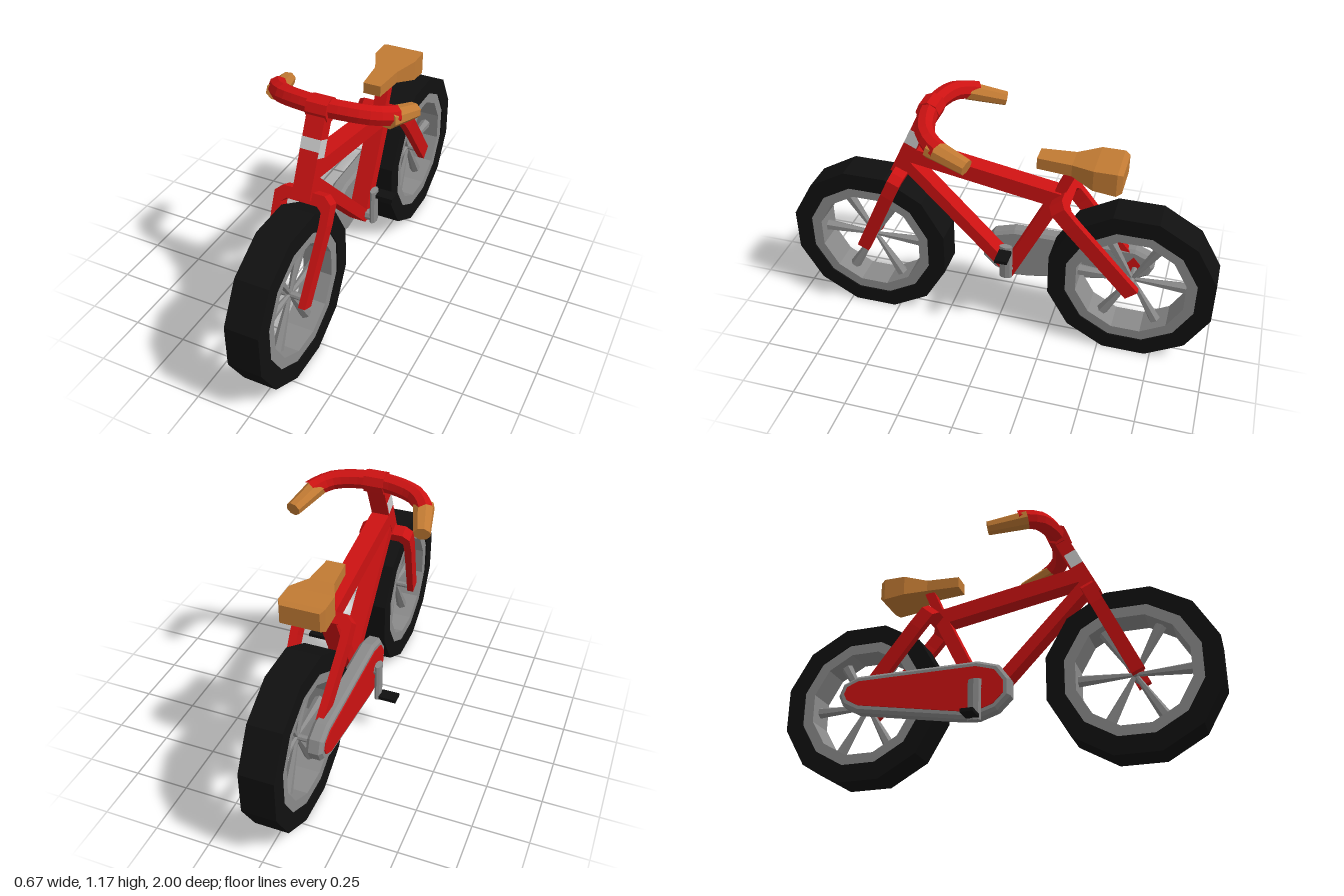
import * as THREE from 'three';

const mat = (color) => new THREE.MeshStandardMaterial({ color, flatShading: true });
const V = (x, y, z) => new THREE.Vector3(x, y, z);

export function createModel() {
  const bike = new THREE.Group();
  bike.name = 'bicycle';
  const red = mat(0xcc1212), black = mat(0x101010), tan = mat(0xc17a33);
  const grey = mat(0x8a8a8a), pale = mat(0xcccccc);

  function add(name, geometry, material, parent = bike) {
    const m = new THREE.Mesh(geometry, material);
    m.name = name;
    parent.add(m);
    return m;
  }
  // Square tube between two points
  function beam(name, a, b, width, thick, material = red) {
    const m = add(name, new THREE.BoxGeometry(width, thick, a.distanceTo(b)), material);
    m.position.copy(a).lerp(b, 0.5);
    m.lookAt(b);
    return m;
  }
  // Round, possibly tapered rod between two points
  function rod(name, a, b, ra, rb, material, sides = 8, parent = bike) {
    const m = add(name, new THREE.CylinderGeometry(rb, ra, a.distanceTo(b), sides), material, parent);
    m.position.copy(a).lerp(b, 0.5);
    m.quaternion.setFromUnitVectors(V(0, 1, 0), b.clone().sub(a).normalize());
    return m;
  }

  // Wheels: twelve-sided rings, given by apothem and half width
  function ring(inner, outer, half) {
    const k = 1 / Math.cos(Math.PI / 12);
    const pts = [[inner, -half], [outer, -half], [outer, half], [inner, half], [inner, -half]]
      .map(([r, y]) => new THREE.Vector2(r * k, y));
    return new THREE.LatheGeometry(pts, 12, Math.PI / 12).rotateZ(Math.PI / 2);
  }
  function wheel(name, z) {
    const g = new THREE.Group();
    g.name = name;
    g.position.set(0, 0.375, z);
    bike.add(g);
    add('tyre', ring(0.295, 0.375, 0.077), black, g);
    add('rim', ring(0.247, 0.3, 0.07), grey, g);
    rod('axle', V(-0.085, 0, 0), V(0.085, 0, 0), 0.014, 0.014, grey, 8, g);
    for (let i = 0; i < 6; i++) {
      const a = (i * Math.PI) / 3, c = Math.cos(a), s = Math.sin(a);
      rod('spoke', V(0, 0, 0), V(0, s * 0.26, c * 0.26), 0.009, 0.028, grey, 6, g);
    }
  }
  wheel('frontWheel', 0.625);
  wheel('rearWheel', -0.625);

  // Forks: one arch outline, tilted towards each hub
  function fork(name, y, z, length, tilt, depth) {
    const half = [[0.068, -length], [0.1, -length], [0.128, -0.12], [0.128, -0.03], [0.095, 0]];
    const inner = [[0.07, -0.05], [0.092, -0.07], [0.092, -0.13]];
    const mirror = (p) => p.map(([x, v]) => [-x, v]).reverse();
    const outline = [...half, ...mirror(half), ...mirror(inner), ...inner];
    const shape = new THREE.Shape(outline.map(([x, v]) => new THREE.Vector2(x, v)));
    const geo = new THREE.ExtrudeGeometry(shape, { depth, bevelEnabled: false });
    const m = add(name, geo.translate(0, 0, -depth / 2), red);
    m.position.set(0, y, z);
    m.rotation.x = tilt;
  }
  fork('frontFork', 0.8, 0.447, 0.49, -0.43, 0.06);
  fork('rearStays', 0.79, -0.275, 0.565, 0.7, 0.07);

  // Frame tubes
  beam('headTube', V(0, 0.775, 0.473), V(0, 1.1, 0.318), 0.084, 0.065);
  beam('headCollar', V(0, 0.935, 0.399), V(0, 1.005, 0.367), 0.087, 0.06, pale);
  beam('topTube', V(0, 0.885, 0.41), V(0, 0.765, -0.28), 0.084, 0.075);
  beam('downTube', V(0, 0.83, 0.43), V(0, 0.325, -0.055), 0.08, 0.055);
  beam('seatTube', V(0, 0.31, -0.045), V(0, 0.785, -0.275), 0.084, 0.062);
  beam('seatPost', V(0, 0.77, -0.265), V(0, 0.925, -0.33), 0.06, 0.045);

  // Handlebar with clamp and grips
  const path = new THREE.CatmullRomCurve3([
    V(-0.27, 1.08, 0.18), V(-0.245, 1.09, 0.22), V(-0.195, 1.105, 0.265), V(-0.1, 1.115, 0.295),
    V(0, 1.117, 0.305),
    V(0.1, 1.115, 0.295), V(0.195, 1.105, 0.265), V(0.245, 1.09, 0.22), V(0.27, 1.08, 0.18)]);
  add('handlebar', new THREE.TubeGeometry(path, 16, 0.043, 8), red);
  rod('handlebarClamp', V(-0.047, 1.113, 0.308), V(0.047, 1.113, 0.308), 0.053, 0.053, red);
  for (const s of [-1, 1]) {
    const grip = rod(s > 0 ? 'leftGrip' : 'rightGrip',
      V(s * 0.25, 1.083, 0.225), V(s * 0.298, 1.042, 0.055), 0.05, 0.038, tan);
    grip.scale.set(1, 1, 0.85);
  }

  // Saddle: rectangular sections [z, half width, bottom, top] from nose to back
  const sections = [[-0.175, 0.042, 0.918, 0.97], [-0.33, 0.055, 0.915, 0.97],
    [-0.43, 0.1, 0.89, 0.985], [-0.53, 0.1, 0.878, 0.985], [-0.553, 0.086, 0.89, 0.975]];
  const pos = [], index = [];
  for (const [z, w, lo, hi] of sections) pos.push(-w, lo, z, w, lo, z, w, hi, z, -w, hi, z);
  for (let i = 0; i < sections.length - 1; i++) {
    for (let j = 0; j < 4; j++) {
      const a = i * 4 + j, b = i * 4 + ((j + 1) % 4);
      index.push(a, a + 4, b, b, a + 4, b + 4);
    }
  }
  const e = (sections.length - 1) * 4;
  index.push(0, 1, 2, 0, 2, 3, e, e + 2, e + 1, e, e + 3, e + 2);
  const saddle = new THREE.BufferGeometry();
  saddle.setAttribute('position', new THREE.Float32BufferAttribute(pos, 3));
  saddle.setIndex(index);
  const saddleGeo = saddle.toNonIndexed();
  saddleGeo.computeVertexNormals();
  add('saddle', saddleGeo, tan);

  // Chain guard: outline in (z, y), with an inset side panel
  const guard = new THREE.Shape([[0.1, 0.38], [0.1, 0.3], [0.04, 0.24], [-0.05, 0.21], [-0.12, 0.215],
    [-0.62, 0.3], [-0.69, 0.34], [-0.712, 0.39], [-0.69, 0.445], [-0.62, 0.475], [-0.05, 0.48],
    [0.05, 0.45]].map(([z, y]) => new THREE.Vector2(z, y)));
  const guardGroup = new THREE.Group();
  guardGroup.name = 'chainGuard';
  guardGroup.rotation.y = -Math.PI / 2 + 0.02;
  guardGroup.position.x = -0.06;
  bike.add(guardGroup);
  add('guardCase', new THREE.ExtrudeGeometry(guard, {
    depth: 0.045, bevelThickness: 0.014, bevelSize: 0.014, bevelOffset: -0.014, bevelSegments: 1,
  }).translate(0, 0, 0.014), grey, guardGroup);
  add('guardPanel', new THREE.ExtrudeGeometry(guard, {
    depth: 0.01, bevelThickness: 0.002, bevelSize: 0, bevelOffset: -0.03, bevelSegments: 1,
  }).translate(0, 0, 0.066), red, guardGroup);

  // Cranks and pedals, one up and one down
  rod('crankAxle', V(-0.155, 0.345, -0.05), V(0.075, 0.345, -0.05), 0.026, 0.026, grey);
  function crank(side, x, low, high, pedalX, pedalY) {
    const arm = rod(side + 'Crank', V(x, low, -0.05), V(x, high, -0.05), 0.031, 0.031, grey);
    arm.scale.set(0.52, 1, 1);
    const pedal = add(side + 'Pedal', new THREE.BoxGeometry(0.083, 0.016, 0.058), black);
    pedal.position.set(pedalX, pedalY, -0.053);
  }
  crank('left', 0.076, 0.32, 0.495, 0.136, 0.479);
  crank('right', -0.156, 0.188, 0.378, -0.21, 0.204);

  return bike;
}
